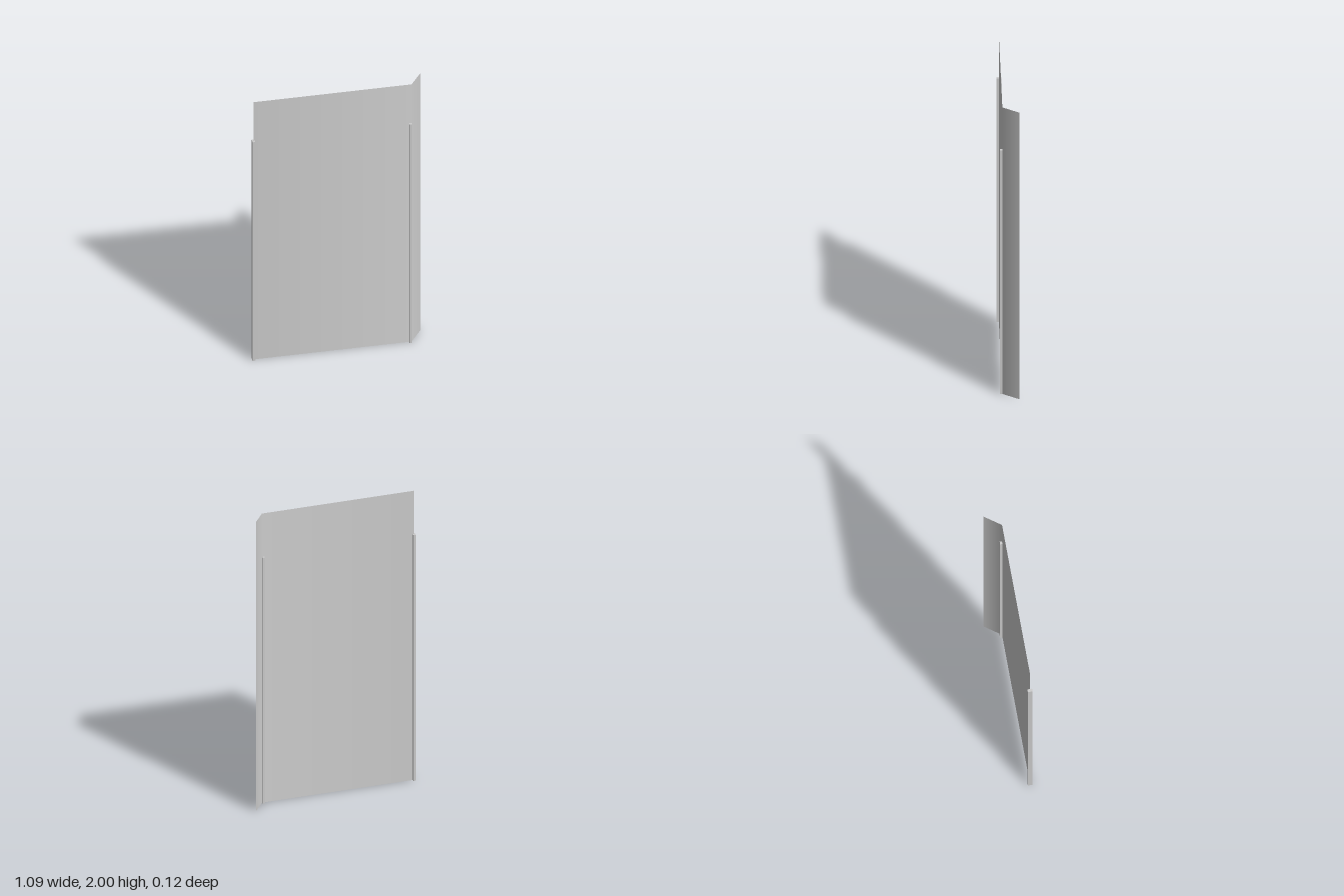
import * as THREE from 'three';

const HEIGHT = 2;
const POST_HEIGHT = 1.7;

export function createModel() {
  const group = new THREE.Group();
  const material = new THREE.MeshStandardMaterial({ color: 0xcccccc });
  const sheetMaterial = new THREE.MeshStandardMaterial({ color: 0xcccccc, side: THREE.DoubleSide });

  // Thin sheet with a bent flap: plan points [x, z, normal angle from +z]
  const plan = [[-0.536, 0.045, 0], [0.466, 0.045, 0.47], [0.542, -0.06, 0.94]];
  const sheet = new THREE.PlaneGeometry(1, HEIGHT, plan.length - 1, 1);
  const { position, normal } = sheet.attributes;
  for (let i = 0; i < position.count; i++) {
    const [x, z, angle] = plan[i % plan.length];
    position.setXYZ(i, x, position.getY(i) + HEIGHT / 2, z);
    normal.setXYZ(i, Math.sin(angle), 0, Math.cos(angle));
  }
  const panel = new THREE.Mesh(sheet, sheetMaterial);
  panel.name = 'bentPanel';
  group.add(panel);

  // Slim upright posts straddling the sheet
  const postGeometry = new THREE.BoxGeometry(0.018, POST_HEIGHT, 0.03);
  for (const [name, x] of [['rightPost', -0.536], ['leftPost', 0.458]]) {
    const post = new THREE.Mesh(postGeometry, material);
    post.name = name;
    post.position.set(x, POST_HEIGHT / 2, 0.045);
    group.add(post);
  }
  return group;
}
